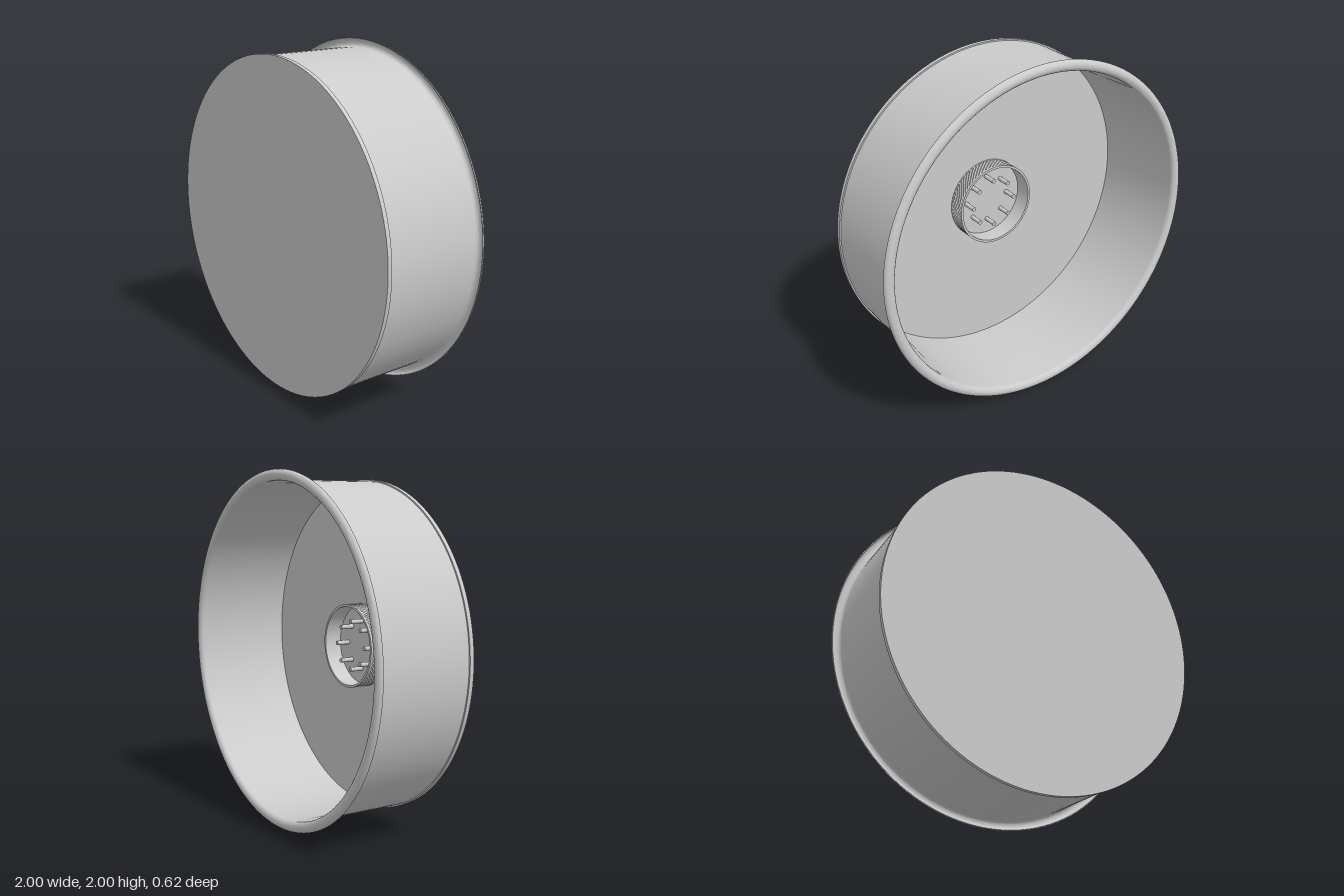
import * as THREE from 'three';
import { toCreasedNormals } from 'three/addons/utils/BufferGeometryUtils.js';

const material = new THREE.MeshStandardMaterial({ color: 0xcccccc });

// Revolve an (r, z) profile around the z axis
function turned(name, profile, segments = 128) {
  const points = profile.map(([r, z]) => new THREE.Vector2(r, z));
  const geometry = new THREE.LatheGeometry(points, segments).rotateX(Math.PI / 2);
  const mesh = new THREE.Mesh(toCreasedNormals(geometry, 0.6), material);
  mesh.name = name;
  return mesh;
}

// Half-ellipse bulging towards the back, from angle a to angle b
function arc(cx, cz, rx, rz, a, b, steps = 12) {
  return Array.from({ length: steps + 1 }, (_, i) => {
    const t = a + (b - a) * i / steps;
    return [cx + rx * Math.cos(t), cz - rz * Math.sin(t)];
  });
}

export function createModel() {
  const model = new THREE.Group();
  model.name = 'roundPan';

  // Thin side wall with a hollow curled lip at the open back
  model.add(turned('wallAndLip', [
    [0.939, 0.287],
    ...arc(0.9695, -0.285, 0.0305, 0.025, Math.PI, 0),
    ...arc(0.97, -0.285, 0.025, 0.02, 0, Math.PI),
    [0.945, 0.287],
  ]));

  // Front plate, slightly wider than the wall
  model.add(turned('frontPlate', [[0, 0.285], [0.953, 0.285], [0.953, 0.31], [0, 0.31]]));

  // Central collar standing on the inside of the plate
  const collar = new THREE.Group();
  collar.name = 'collar';
  collar.add(turned('collarRing', [
    [0.229, 0.286], [0.229, 0.18], [0.243, 0.18], [0.243, 0.19],
    [0.238, 0.19], [0.238, 0.276], [0.243, 0.276], [0.243, 0.286],
  ], 96));

  // Knurled band around the collar: alternate vertices are raised
  const around = 120, rows = 8;
  const band = new THREE.CylinderGeometry(0.239, 0.239, 0.086, around, rows, true);
  const p = band.attributes.position;
  for (let i = 0; i < p.count; i++) {
    const column = i % (around + 1), row = Math.floor(i / (around + 1));
    const k = (column + row) % 2 ? 1.018 : 1;
    p.setX(i, p.getX(i) * k);
    p.setZ(i, p.getZ(i) * k);
  }
  band.rotateX(Math.PI / 2).translate(0, 0, 0.233);
  const knurl = new THREE.Mesh(toCreasedNormals(band, 0.2), material);
  knurl.name = 'knurledBand';
  collar.add(knurl);
  model.add(collar);

  // Eight pins in a circle inside the collar
  const pinGeometry = toCreasedNormals(
    new THREE.CylinderGeometry(0.013, 0.013, 0.085, 20).rotateX(Math.PI / 2), 0.6);
  const pins = new THREE.Group();
  pins.name = 'pins';
  for (let i = 0; i < 8; i++) {
    const a = i * Math.PI / 4;
    const pin = new THREE.Mesh(pinGeometry, material);
    pin.name = 'pin';
    pin.position.set(0.14 * Math.cos(a), 0.14 * Math.sin(a), 0.244);
    pins.add(pin);
  }
  model.add(pins);

  model.position.y = 1;
  const root = new THREE.Group();
  root.add(model);
  return root;
}
